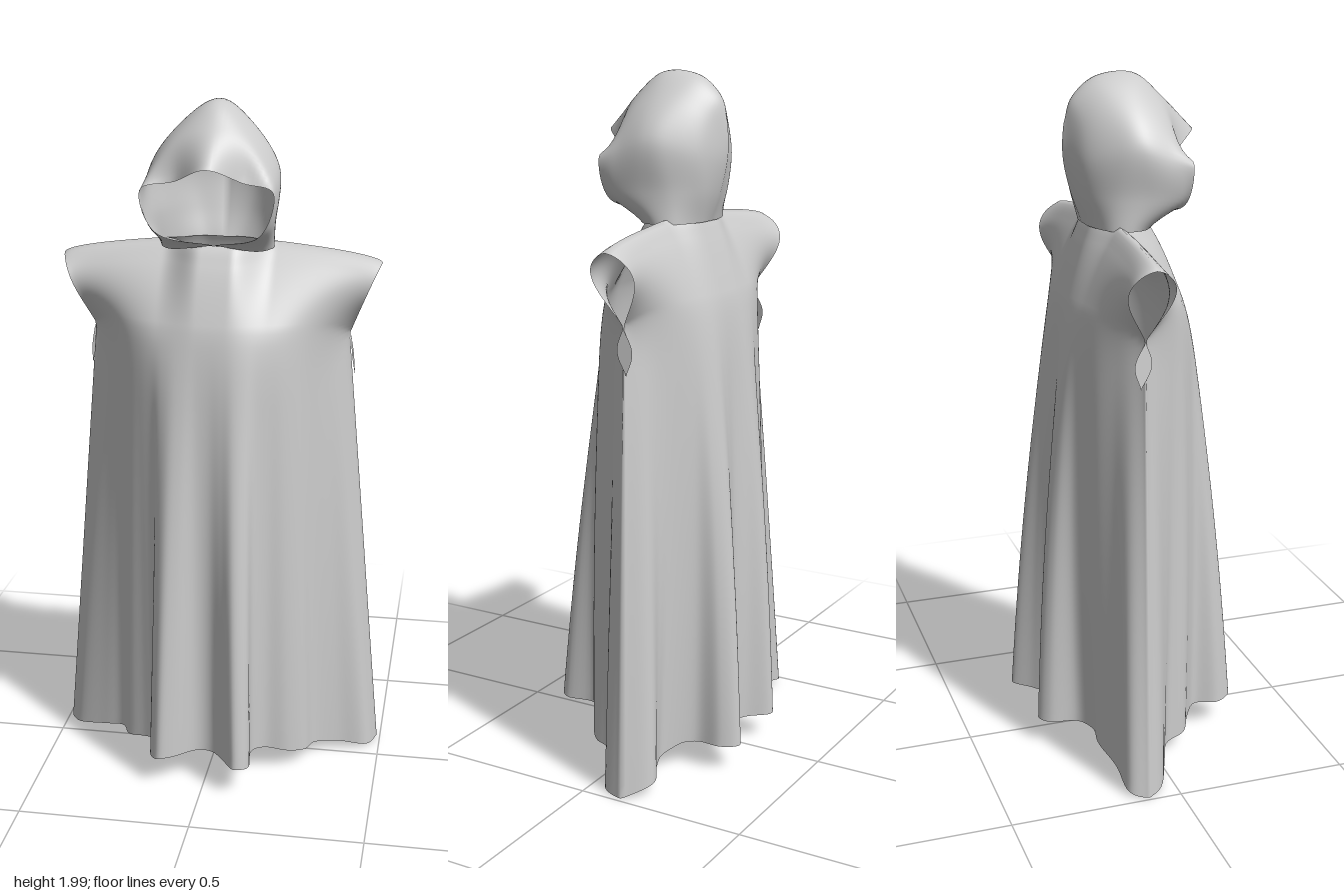
import * as THREE from 'three';
import { mergeGeometries, mergeVertices } from 'three/addons/utils/BufferGeometryUtils.js';

const cloth = new THREE.MeshStandardMaterial({ color: 0xcccccc, side: THREE.DoubleSide });
const { clamp, lerp, smoothstep } = THREE.MathUtils;
const V = (x, y, z) => new THREE.Vector3(x, y, z);
const spline = (pts) => new THREE.CatmullRomCurve3(pts, false, 'catmullrom', 0.5);

// Grid surface over u, v in 0..1
function sheet(nu, nv, fn) {
  const pos = [], index = [];
  for (let j = 0; j <= nv; j++)
    for (let i = 0; i <= nu; i++) pos.push(...fn(i / nu, j / nv).toArray());
  for (let j = 0; j < nv; j++)
    for (let i = 0; i < nu; i++) {
      const a = j * (nu + 1) + i, b = a + nu + 1;
      index.push(a, a + 1, b + 1, a, b + 1, b);
    }
  const g = new THREE.BufferGeometry();
  g.setAttribute('position', new THREE.Float32BufferAttribute(pos, 3));
  g.setIndex(index);
  return g;
}

function clothMesh(name, parts) {
  const g = mergeVertices(mergeGeometries(parts), 1e-4);
  g.computeVertexNormals();
  const m = new THREE.Mesh(g, cloth);
  m.name = name;
  return m;
}

// Folded hem outlines as [x, z], running from -x to +x
const hemFront = [[-0.49, -0.09], [-0.45, -0.04], [-0.36, 0], [-0.295, 0.03], [-0.262, 0.095], [-0.2, 0.13],
  [-0.155, 0.17], [-0.165, 0.24], [-0.135, 0.29], [-0.09, 0.275], [-0.03, 0.225], [0.02, 0.225],
  [0.06, 0.27], [0.1, 0.32], [0.14, 0.29], [0.135, 0.2], [0.17, 0.15], [0.235, 0.13],
  [0.285, 0.09], [0.31, 0.03], [0.38, -0.02], [0.46, -0.05], [0.49, -0.12]];
const hemBack = [[-0.49, -0.09], [-0.46, -0.145], [-0.36, -0.15], [-0.27, -0.175], [-0.2, -0.17],
  [-0.14, -0.2], [-0.12, -0.28], [-0.075, -0.305], [-0.02, -0.25], [0.04, -0.23], [0.1, -0.27],
  [0.16, -0.325], [0.2, -0.28], [0.205, -0.2], [0.28, -0.14], [0.34, -0.15], [0.42, -0.185], [0.49, -0.12]];

const ARMPIT = 1.33, MID = -0.07;

// Height of the hem: long at the sides, shorter in front and behind
function hemHeight(x, z) {
  const y = 0.1 - 0.09 * clamp((Math.abs(x) - 0.12) / 0.36, 0, 1);
  return z < -0.11 ? Math.min(0.088, y + Math.min(0.02, (-0.11 - z) * 0.25)) : y;
}

// One panel of the robe: folded skirt below the armpit, shoulder and sleeve half above it
function panel(hem, side, depth) {
  const curve = spline(hem.map(([x, z]) => V(x, 0, z)));
  const upper = (t, s) => {
    const a = Math.abs(t);
    const x = t * lerp(0.375, 0.464, s);
    const top = 1.538 + 0.055 * Math.sqrt(clamp((0.465 - Math.abs(x)) / 0.3, 0, 1));
    const collar = smoothstep(0.165 - Math.abs(x), 0, 0.12);
    const neck = 0.075 * collar;
    const full = depth * Math.pow(1 - a ** 3, 1.4);
    const opening = s > 0 && s < 1 ? 0.066 * Math.sin(Math.PI * Math.pow(s, 1.45)) ** 0.75 : 0;
    const d = neck + (full - neck) * Math.pow(1 - s, 0.78) + opening * a ** 3;
    return V(x, lerp(ARMPIT, top, s), MID + side * d + 0.03 * s * collar);
  };
  const point = (u, v) => {
    const t = u * 2 - 1;
    if (v >= 0.6) return upper(t, Math.min(1, (v - 0.6) / 0.4));
    const f = v / 0.6;
    const h = curve.getPoint(u);
    h.y = hemHeight(h.x, h.z);
    const p = h.clone().lerp(upper(t, 0), f);
    p.z += side * 0.06 * f * (1 - f) * (1 - t * t); // slight outward billow
    return p;
  };
  // Averaging along the height softens the bend at the chest, leaving the edges as they are
  return sheet(120, 64, (u, v) => {
    if (side < 0) u = 1 - u;
    const r = Math.min(0.07, v, 1 - v) * (1 - (u * 2 - 1) ** 8);
    const sum = V(0, 0, 0);
    for (let k = -3; k <= 3; k++) sum.add(point(u, clamp(v + r * k / 3, 0, 1)));
    return sum.divideScalar(7);
  });
}

// Half arches of the hood from neck to crown, ordered from face rim to back
const hoodArches = [
  [[0, 1.6, 0.06], [0.135, 1.64, 0.12], [0.175, 1.76, 0.13], [0.09, 1.785, 0.12], [0, 1.83, 0.195]],
  [[0.11, 1.58, 0.03], [0.166, 1.66, 0.085], [0.174, 1.78, 0.075], [0.1, 1.88, 0.085], [0, 1.925, 0.1]],
  [[0.155, 1.58, -0.03], [0.166, 1.67, 0], [0.174, 1.81, -0.01], [0.1, 1.925, 0], [0, 1.99, 0.02]],
  [[0.135, 1.58, -0.09], [0.142, 1.67, -0.08], [0.15, 1.8, -0.075], [0.09, 1.915, -0.08], [0, 1.985, -0.085]],
  [[0.06, 1.58, -0.125], [0.08, 1.67, -0.14], [0.09, 1.77, -0.145], [0.06, 1.87, -0.145], [0, 1.93, -0.155]],
  [[0, 1.58, -0.13], [0, 1.66, -0.16], [0, 1.74, -0.18], [0, 1.8, -0.185], [0, 1.86, -0.18]],
];

function hood() {
  const arches = hoodArches.map((half, i) => {
    const flare = 1.12 - 0.02 * i; // the right cheek hangs a little wider
    const right = half.map(([x, y, z]) => V(-x * flare, y, z));
    const left = half.slice(0, -1).reverse().map(([x, y, z]) => V(x, y, z));
    return spline([...right, ...left]);
  });
  return sheet(64, 40, (u, v) => spline(arches.map((c) => c.getPoint(u))).getPoint(v));
}

// Small pointed tail of cloth hanging below each sleeve
function sleeveTail(side) {
  return sheet(6, 12, (u, v) => {
    const q = u * 2 - 1;
    const w = 0.024 * Math.sin(Math.PI * v) ** 1.3;
    return V(side * (0.392 - 0.014 * v), 1.2 + 0.13 * v, -0.088 + 0.018 * v + q * w);
  });
}

export function createModel() {
  const group = new THREE.Group();
  group.name = 'hoodedCloak';
  group.add(clothMesh('robe', [panel(hemFront, 1, 0.23), panel(hemBack, -1, 0.135)]));
  group.add(clothMesh('hood', [hood()]));
  for (const side of [-1, 1])
    group.add(clothMesh(side > 0 ? 'leftSleeveTail' : 'rightSleeveTail', [sleeveTail(side)]));
  return group;
}
